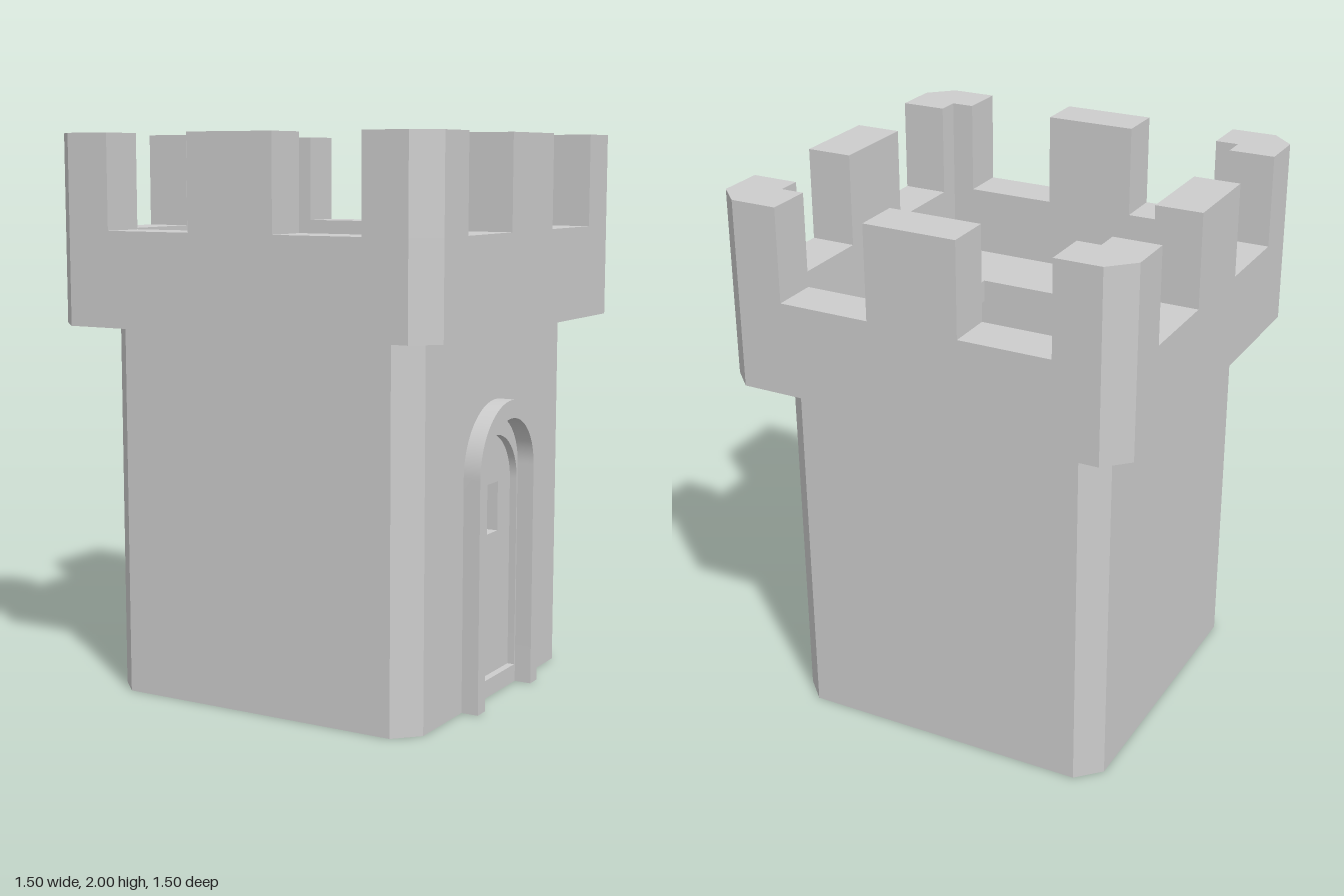
import * as THREE from 'three';
import { toCreasedNormals } from 'three/addons/utils/BufferGeometryUtils.js';

const stone = new THREE.MeshStandardMaterial({ color: 0xcccccc });
stone.name = 'stone';

const polygon = (pts, Type = THREE.Shape) => new Type(pts.map(([x, y]) => new THREE.Vector2(x, y)));
const square = (h, Type) => polygon([[-h, -h], [h, -h], [h, h], [-h, h]], Type);

// Square of half-width h with corners cut off by c
const octagon = (h, c) => polygon([
  [h - c, -h], [h, c - h], [h, h - c], [h - c, h],
  [c - h, h], [-h, h - c], [-h, c - h], [c - h, -h],
]);

// Round-topped doorway outline
function arch(w, bottom, top, Type = THREE.Shape) {
  const s = new Type();
  s.moveTo(-w, bottom);
  s.lineTo(w, bottom);
  s.lineTo(w, top - w);
  s.absarc(0, top - w, w, 0, Math.PI, false);
  s.lineTo(-w, bottom);
  return s;
}

const extrude = (shape, depth) => new THREE.ExtrudeGeometry(shape, { depth, bevelEnabled: false, curveSegments: 24 });

function mesh(name, geometry) {
  const m = new THREE.Mesh(geometry, stone);
  m.name = name;
  return m;
}

// Floor-plan shape raised from y0 to y1
const raise = (name, shape, y0, y1) =>
  mesh(name, extrude(shape, y1 - y0).rotateX(-Math.PI / 2).translate(0, y0, 0));

// Side-on shape running along x from x0 to x1
const through = (name, shape, x0, x1) =>
  mesh(name, toCreasedNormals(extrude(shape, x1 - x0).rotateY(Math.PI / 2).translate(x0, 0, 0), 0.5));

export function createModel() {
  const tower = new THREE.Group();
  tower.name = 'castleTower';

  const B = 0.617, C = 0.083, I = 0.45;             // body half-width, chamfer, inner half-width
  const base = 1.333, ledge = 1.667, top = 2;       // battlement levels
  const O = 0.75, N = 0.583;                        // battlement outer and inner half-widths

  // Hollow body, open where the door wall fits
  tower.add(raise('bodyWalls', polygon([
    [B, -I], [I, -I], [-I, -I], [-I, I], [I, I], [B, I], [B, B - C], [B - C, B],
    [C - B, B], [-B, B - C], [-B, C - B], [C - B, -B], [B - C, -B], [B, C - B],
  ]), 0, base));

  // Door wall with an arched niche
  const wall = polygon([[-I, 0], [I, 0], [I, base], [-I, base]]);
  wall.holes.push(arch(0.185, 0.065, 0.945, THREE.Path));
  tower.add(through('doorWall', wall, I, B));

  // Door with a square window
  const door = arch(0.185, 0.065, 0.945);
  door.holes.push(polygon([[-0.083, 0.585], [0.083, 0.585], [0.083, 0.765], [-0.083, 0.765]], THREE.Path));
  tower.add(through('door', door, 0.48, 0.59));

  // Arched surround, standing proud inside and out
  const surround = new THREE.Shape();
  surround.moveTo(0.192, 0);
  surround.lineTo(0.248, 0);
  surround.lineTo(0.248, 0.827);
  surround.absarc(0, 0.827, 0.248, 0, Math.PI, false);
  surround.lineTo(-0.248, 0);
  surround.lineTo(-0.192, 0);
  surround.lineTo(-0.192, 0.818);
  surround.absarc(0, 0.818, 0.192, Math.PI, 0, true);
  tower.add(through('doorSurround', surround, 0.388, 0.68));

  // Battlement ring and roof floor with a hatch
  const ring = octagon(O, C);
  ring.holes.push(square(N, THREE.Path));
  tower.add(raise('parapet', ring, base, ledge));
  const floor = square(N);
  floor.holes.push(square(0.302, THREE.Path));
  tower.add(raise('roofFloor', floor, base, 1.417));

  // Merlons: one corner and one middle on each side
  const corner = polygon([
    [0.5, N], [N, N], [N, 0.5], [O, 0.5], [O, O - C], [O - C, O], [0.5, O],
  ]);
  const middle = polygon([[-0.167, N], [0.167, N], [0.167, O], [-0.167, O]]);
  for (let i = 0; i < 4; i++) {
    const side = new THREE.Group();
    side.name = 'merlons' + (i + 1);
    side.add(raise('cornerMerlon', corner, ledge, top), raise('middleMerlon', middle, ledge, top));
    side.rotation.y = i * Math.PI / 2;
    tower.add(side);
  }
  return tower;
}
